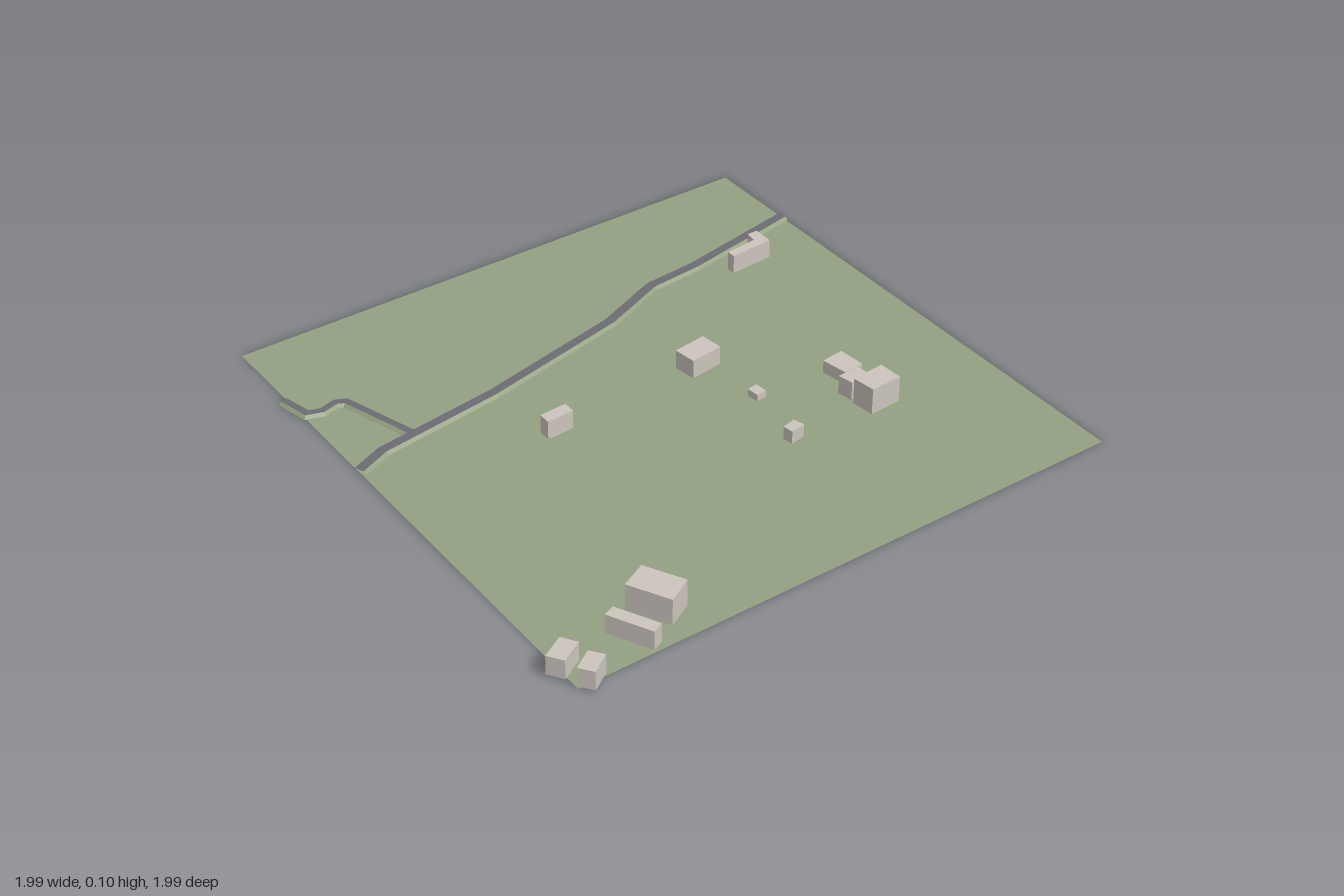
import * as THREE from 'three';

const mat = (name, color, side = THREE.FrontSide) => {
  const m = new THREE.MeshStandardMaterial({ color, side });
  m.name = name;
  return m;
};
const BASE = 0.01; // level of the building floors and the road surface

// Offsets a path sideways by d in the ground plane, with mitred corners
function offsetPath(path, d) {
  const normal = (a, b) => new THREE.Vector2(-(b[1] - a[1]), b[0] - a[0]).normalize();
  return path.map((p, i) => {
    const n0 = i > 0 ? normal(path[i - 1], p) : normal(p, path[1]);
    const n1 = i < path.length - 1 ? normal(p, path[i + 1]) : n0;
    const m = n0.clone().add(n1).normalize();
    const k = d / Math.max(0.5, m.dot(n0));
    return [p[0] + m.x * k, p[1] + m.y * k];
  });
}

// Strip of quads between two sideways offsets, each with its own height
function strip(path, d0, y0, d1, y1) {
  const a = offsetPath(path, d0), b = offsetPath(path, d1);
  const pos = [];
  for (let i = 0; i < path.length - 1; i++) {
    const q = [[a[i], y0], [b[i], y1], [b[i + 1], y1], [a[i + 1], y0]];
    for (const k of [0, 1, 2, 0, 2, 3]) pos.push(q[k][0][0], q[k][1], q[k][0][1]);
  }
  const g = new THREE.BufferGeometry();
  g.setAttribute('position', new THREE.Float32BufferAttribute(pos, 3));
  g.computeVertexNormals();
  return g;
}

// Upright block over a plan outline of [x, z] corners
function block(outline, top) {
  const shape = new THREE.Shape(outline.map(([x, z]) => new THREE.Vector2(x, -z)));
  const g = new THREE.ExtrudeGeometry(shape, { depth: top - BASE, bevelEnabled: false });
  return g.rotateX(-Math.PI / 2).translate(0, BASE, 0);
}

export function createModel() {
  const group = new THREE.Group();
  const grass = mat('grass', 0x93a082, THREE.DoubleSide);
  const asphalt = mat('asphalt', 0x6c6c72, THREE.DoubleSide);
  const plaster = mat('plaster', 0xcbc4bc);

  const add = (name, geometry, material, parent = group) => {
    const mesh = new THREE.Mesh(geometry, material);
    mesh.name = name;
    parent.add(mesh);
  };

  // Flat site
  const ground = new THREE.PlaneGeometry(1.945, 1.94).rotateX(-Math.PI / 2);
  add('ground', ground.translate(-0.0275, 0, -0.025), grass);

  // Roads on low embankments
  const roads = {
    mainRoad: [[-0.667, -0.995], [-0.583, -0.553], [-0.567, -0.367], [-0.47, -0.133],
      [-0.35, 0.4], [-0.29, 0.835], [-0.242, 0.945]],
    sideRoad: [[-0.31, 0.713], [-0.578, 0.8], [-0.592, 0.83], [-0.577, 0.885],
      [-0.592, 0.932], [-0.695, 0.957]],
  };
  for (const [name, path] of Object.entries(roads)) {
    const road = new THREE.Group();
    road.name = name;
    const half = name === 'mainRoad' ? 0.026 : 0.022, lane = half - 0.01;
    add('roadSurface', strip(path, lane, BASE, -lane, BASE), asphalt, road);
    add('bankRight', strip(path, half, 0, lane, BASE), grass, road);
    add('bankLeft', strip(path, -lane, BASE, -half, 0), grass, road);
    group.add(road);
  }

  // Buildings: top height and plan outline
  const buildings = {
    cornerHouse: [0.077, [[-0.55, -0.793], [-0.476, -0.793], [-0.465, -0.633],
      [-0.497, -0.633], [-0.508, -0.75], [-0.55, -0.755]]],
    lowHall: [0.056, [[0.157, -0.596], [0.253, -0.606], [0.258, -0.532], [0.168, -0.516]]],
    linkHouse: [0.077, [[0.279, -0.564], [0.327, -0.569], [0.338, -0.495], [0.285, -0.484]]],
    tallHouse: [0.104, [[0.343, -0.606], [0.428, -0.612], [0.433, -0.5], [0.354, -0.489]]],
    middleHouse: [0.077, [[-0.141, -0.266], [-0.061, -0.277], [-0.045, -0.16], [-0.125, -0.149]]],
    shed: [0.035, [[0.125, -0.282], [0.168, -0.287], [0.173, -0.25], [0.13, -0.245]]],
    smallHouse: [0.056, [[0.364, -0.245], [0.402, -0.255], [0.412, -0.202], [0.375, -0.197]]],
    narrowHouse: [0.077, [[-0.088, 0.298], [-0.045, 0.298], [-0.04, 0.394], [-0.082, 0.394]]],
    bigBarn: [0.104, [[0.715, 0.574], [0.843, 0.505], [0.89, 0.59], [0.758, 0.66]]],
    longBarn: [0.077, [[0.79, 0.723], [0.928, 0.654], [0.944, 0.691], [0.806, 0.761]]],
    edgeHouseRight: [0.077, [[0.811, 0.915], [0.859, 0.883], [0.902, 0.957], [0.854, 0.99]]],
    edgeHouseLeft: [0.077, [[0.902, 0.883], [0.944, 0.851], [0.987, 0.915], [0.944, 0.947]]],
  };
  for (const [name, [top, outline]] of Object.entries(buildings)) {
    add(name, block(outline, top), plaster);
  }
  return group;
}
